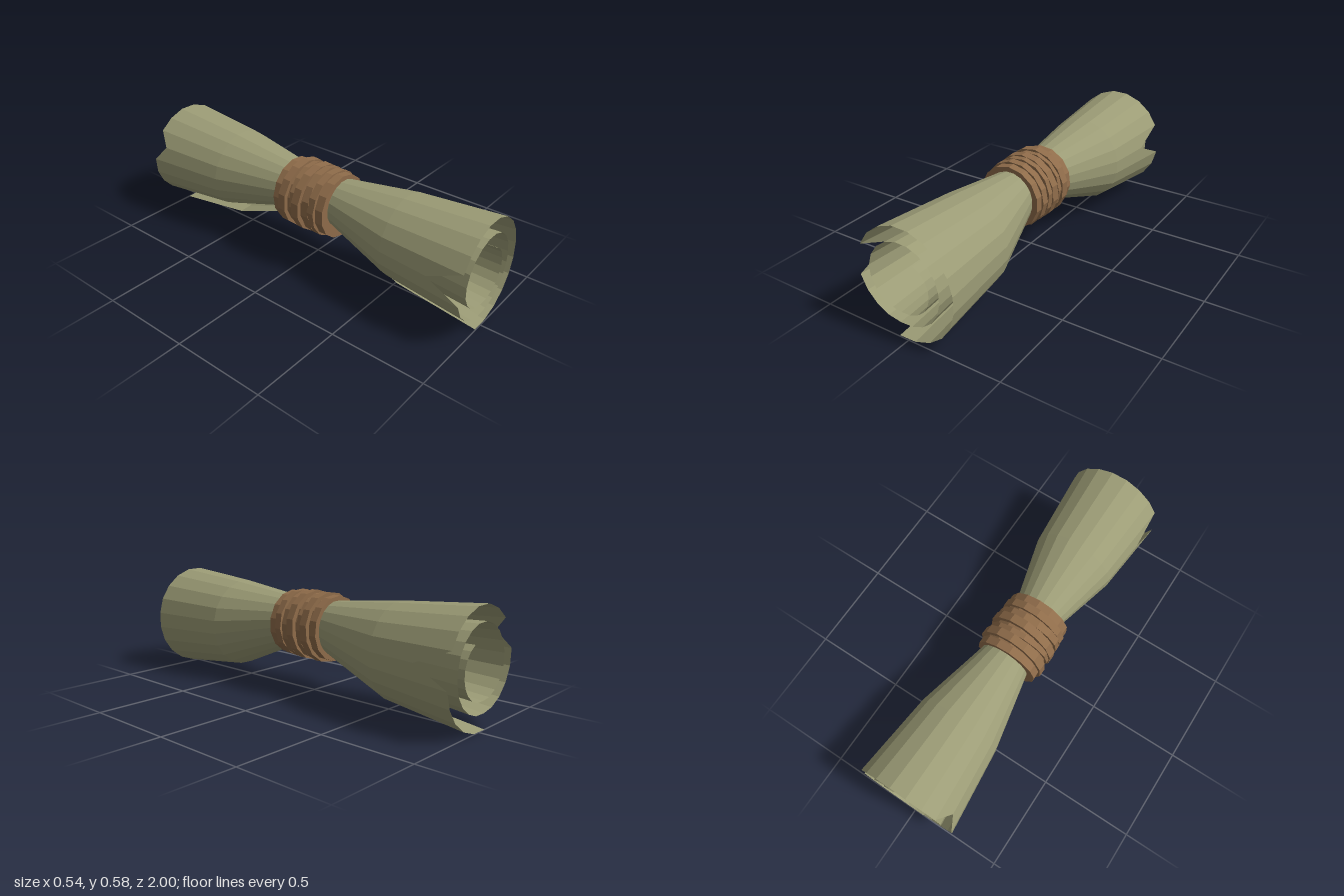
import * as THREE from 'three';

// Linear interpolation through a short list of [key, value] pairs
function sample(table, k) {
  for (let i = 1; i < table.length; i++) {
    const [a, va] = table[i - 1], [b, vb] = table[i];
    if (k <= b) return va + (vb - va) * Math.max(0, (k - a) / (b - a));
  }
  return table[table.length - 1][1];
}

// Radius of the roll against the number of turns from the free outer edge
const ROLL = [[0, 0.295], [0.28, 0.272], [0.53, 0.284], [0.78, 0.265], [1, 0.215],
  [1.28, 0.195], [1.53, 0.207], [1.78, 0.2], [2, 0.155], [2.28, 0.14], [2.45, 0.13]];
// Flare and height of the axis along the length
const FLARE = [[-1, 1.02], [-0.55, 0.85], [-0.14, 0.5], [0.18, 0.5], [0.55, 0.85], [1, 1]];
const AXIS_Y = [[-1, 0.297], [-0.55, 0.308], [-0.14, 0.36], [0.18, 0.36], [0.55, 0.305], [1, 0.297]];
const AXIS_X = [[-0.55, 0], [-0.14, -0.012], [0.18, -0.012], [0.55, 0]];

// Torn notches: column of the sheet -> z of the notch tip
const FRONT_NOTCH = { 15: 0.82 };
const BACK_NOTCH = { 6: -0.81, 14: -0.93 };

function buildSheet() {
  const cols = 49, perTurn = 20;
  const stations = [-1, -0.55, -0.14, 0.18, 0.55, 1];
  const pos = [], index = [];
  for (let c = 0; c <= cols; c++) {
    const angle = THREE.MathUtils.degToRad(-100 + c * 360 / perTurn);
    for (let z of stations) {
      if (z === 1) z = FRONT_NOTCH[c] ?? z;
      if (z === -1) z = BACK_NOTCH[c] ?? z;
      const r = sample(ROLL, c / perTurn) * sample(FLARE, z);
      pos.push(sample(AXIS_X, z) + r * Math.cos(angle), sample(AXIS_Y, z) + r * Math.sin(angle), z);
    }
  }
  const n = stations.length;
  for (let c = 0; c < cols; c++) {
    for (let s = 0; s < n - 1; s++) {
      const a = c * n + s, b = a + n;
      // the diagonal always runs so that both sides of a notch match
      if (s < n / 2) index.push(a, b, a + 1, b, b + 1, a + 1);
      else index.push(a, b, b + 1, a, b + 1, a + 1);
    }
  }
  const g = new THREE.BufferGeometry();
  g.setAttribute('position', new THREE.Float32BufferAttribute(pos, 3));
  g.setIndex(index);
  g.computeVertexNormals();
  return g;
}

export function createModel() {
  const group = new THREE.Group();
  group.name = 'tiedScroll';

  // Rolled sheet pinched at the middle
  const sheet = new THREE.Mesh(buildSheet(), new THREE.MeshStandardMaterial({
    color: 0x9c9c76, flatShading: true, side: THREE.DoubleSide }));
  sheet.name = 'rolledSheet';
  group.add(sheet);

  // Cord wound round the waist: [z, width, radius, tilt]
  const cordMaterial = new THREE.MeshStandardMaterial({ color: 0x8f6c4a, flatShading: true });
  const cord = new THREE.Group();
  cord.name = 'cord';
  const turns = [[0.155, 0.046, 0.172, 0], [0.11, 0.04, 0.181, 0.02], [0.067, 0.04, 0.181, -0.03],
    [0.015, 0.045, 0.187, 0.04], [-0.025, 0.03, 0.178, -0.04], [-0.077, 0.045, 0.186, 0.03],
    [-0.125, 0.042, 0.172, 0]];
  turns.forEach(([z, width, radius, tilt], i) => {
    const turn = new THREE.Mesh(new THREE.CylinderGeometry(radius, radius, width, 14), cordMaterial);
    turn.name = 'cordTurn';
    turn.geometry.rotateY(i * 0.17);
    turn.rotation.x = Math.PI / 2 + tilt;
    turn.rotation.z = tilt;
    turn.position.set(-0.017, 0.355, z);
    cord.add(turn);
  });
  // Core that fills the gaps between the turns
  const core = new THREE.Mesh(new THREE.CylinderGeometry(0.165, 0.165, 0.3, 14), cordMaterial);
  core.name = 'cordCore';
  core.rotation.x = Math.PI / 2;
  core.position.set(-0.017, 0.355, 0.015);
  cord.add(core);
  group.add(cord);
  return group;
}
